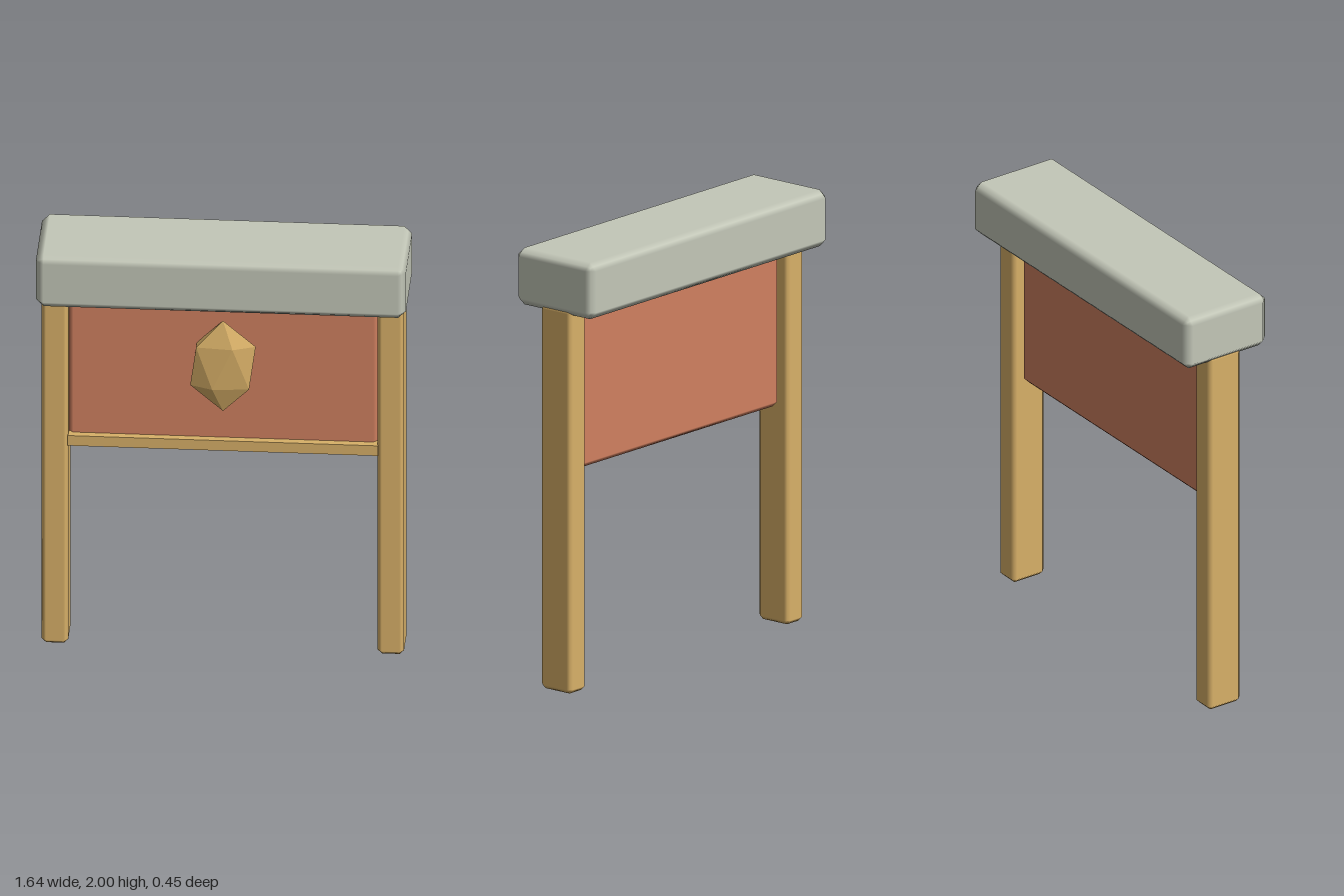
import * as THREE from 'three';
import { ConvexGeometry } from 'three/addons/geometries/ConvexGeometry.js';

const stone = new THREE.MeshStandardMaterial({ color: 0xc3c7b8 });
const wood = new THREE.MeshStandardMaterial({ color: 0xd8b068 });
const cloth = new THREE.MeshStandardMaterial({ color: 0xd08060 });
const gold = new THREE.MeshStandardMaterial({ color: 0xd8b068, flatShading: true });

// Box with a bevel of width b on every edge, shaded smoothly across the bevel
function bevelBox(w, h, d, b) {
  const geo = new THREE.BoxGeometry(1, 1, 1, 3, 3, 3);
  const pos = geo.attributes.position;
  const half = [w / 2, h / 2, d / 2];
  for (let i = 0; i < pos.count; i++) {
    const p = [pos.getX(i), pos.getY(i), pos.getZ(i)];
    const outer = p.map((c) => Math.abs(c) > 0.4);
    const n = outer.filter(Boolean).length;
    // faces stay full size, edge and corner points sit in the middle of the cut
    const inset = (b * (n - 1)) / n;
    const q = p.map((c, k) => Math.sign(c) * (half[k] - (outer[k] ? inset : b)));
    const normal = new THREE.Vector3(...p.map((c, k) => (outer[k] ? Math.sign(c) : 0))).normalize();
    pos.setXYZ(i, ...q);
    geo.attributes.normal.setXYZ(i, normal.x, normal.y, normal.z);
  }
  return geo;
}

// Ten ring points and two poles: a stretched twenty-sided stone
function gemGeometry(rx, ry, rz) {
  const points = [new THREE.Vector3(0, ry, 0), new THREE.Vector3(0, -ry, 0)];
  for (let i = 0; i < 5; i++) {
    const a = (i * Math.PI * 2) / 5;
    const x = rx * Math.cos(a);
    const z = rz * Math.sin(a);
    points.push(new THREE.Vector3(x, ry * 0.447, z), new THREE.Vector3(-x, -ry * 0.447, z));
  }
  return new ConvexGeometry(points);
}

export function createModel() {
  const group = new THREE.Group();
  const add = (name, geo, mat, x, y, z) => {
    const mesh = new THREE.Mesh(geo, mat);
    mesh.name = name;
    mesh.position.set(x, y, z);
    group.add(mesh);
  };

  // Heavy cap across the top
  add('topBeam', bevelBox(1.64, 0.26, 0.45, 0.035), stone, 0, 1.87, 0);

  // Posts
  for (const s of [1, -1]) {
    add(s > 0 ? 'leftPost' : 'rightPost', bevelBox(0.118, 1.765, 0.178, 0.02), wood, s * 0.744, 0.8825, 0);
  }

  // Hanging panel with its trim and ornament
  add('panel', bevelBox(1.38, 0.76, 0.09, 0.025), cloth, 0, 1.38, 0);
  add('panelTrim', new THREE.BoxGeometry(1.376, 0.05, 0.05), wood, 0, 1.015, 0.055);
  add('gemOrnament', gemGeometry(0.145, 0.225, 0.043), gold, 0, 1.405, 0.064);

  return group;
}
